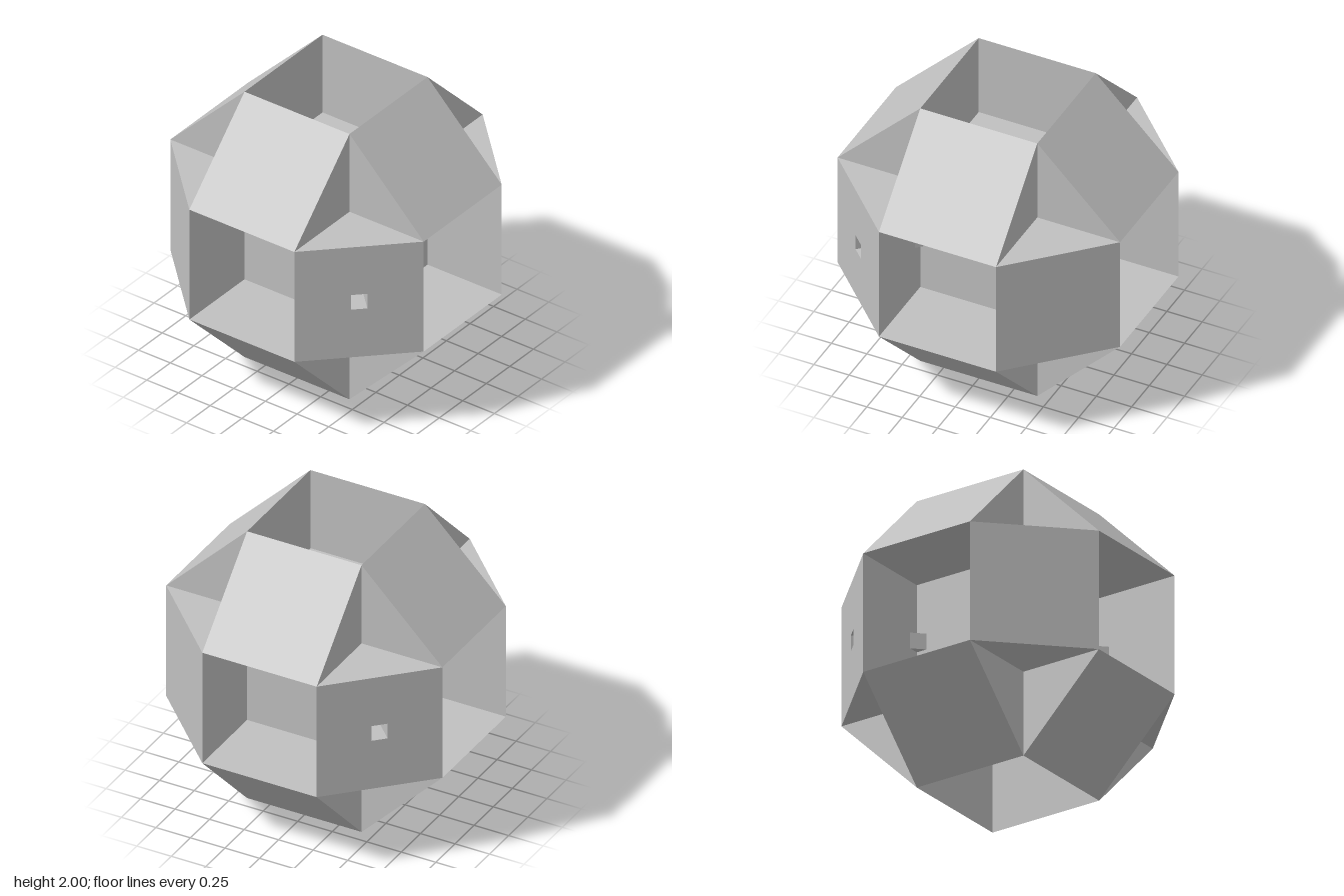
import * as THREE from 'three';

const A = Math.SQRT2 - 1;          // half side of every square panel
const W = 0.053, H = 0.055;        // half width and half height of the channel
const Q = Math.PI / 2;

// Flat shape from corner points, with an optional rectangular opening
function panel(points, hole) {
  const shape = new THREE.Shape(points.map(([x, y]) => new THREE.Vector2(x, y)));
  if (hole) {
    const { x, w } = hole;
    shape.holes.push(new THREE.Path([
      new THREE.Vector2(x - w, -H), new THREE.Vector2(x - w, H),
      new THREE.Vector2(x + w, H), new THREE.Vector2(x + w, -H),
    ]));
  }
  return new THREE.ShapeGeometry(shape);
}

const SQUARE = [[-A, -A], [A, -A], [A, A], [-A, A]];
const OCTAGON = [[-A, -1], [A, -1], [1, -A], [1, A], [A, 1], [-A, 1], [-1, A], [-1, -A]];

export function createModel() {
  const model = new THREE.Group();
  model.name = 'facetedPolyhedron';
  const grey = new THREE.MeshStandardMaterial({ color: 0xc0c0c0, side: THREE.DoubleSide });
  grey.name = 'grey';

  const add = (name, geometry) => {
    const mesh = new THREE.Mesh(geometry.translate(0, 1, 0), grey);
    mesh.name = name;
    model.add(mesh);
  };

  // Three crossing pairs of octagons; the upright ones open where the channel passes
  for (const s of [-1, 1]) {
    const w = W * Math.SQRT2;
    add('octagonAcrossZ', panel(OCTAGON, { x: -s * A, w }).translate(0, 0, s * A));
    add('octagonAcrossX', panel(OCTAGON, { x: s * A, w }).rotateY(Q).translate(s * A, 0, 0));
    add('octagonAcrossY', panel(OCTAGON).rotateX(-Q).translate(0, s * A, 0));
  }

  // Three rings of four slanted squares; two opposite upright ones are pierced
  for (let i = 0; i < 4; i++) {
    const angle = -Q / 2 + i * Q;
    const slanted = (hole) => panel(SQUARE, hole).translate(0, 0, 1).rotateY(angle);
    add('uprightSquare', slanted(i % 2 === 0 ? { x: 0, w: W } : null));
    add('squareAroundX', slanted().rotateZ(Q));
    add('squareAroundZ', slanted().rotateX(Q));
  }

  // Square channel running right through between the pierced squares
  for (const s of [-1, 1]) {
    add('channelSide', new THREE.PlaneGeometry(2, 2 * H)
      .rotateY(s * Q).translate(s * W, 0, 0).rotateY(-Q / 2));
    add('channelFloorOrRoof', new THREE.PlaneGeometry(2 * W, 2)
      .rotateX(-s * Q).translate(0, s * H, 0).rotateY(-Q / 2));
  }
  return model;
}
